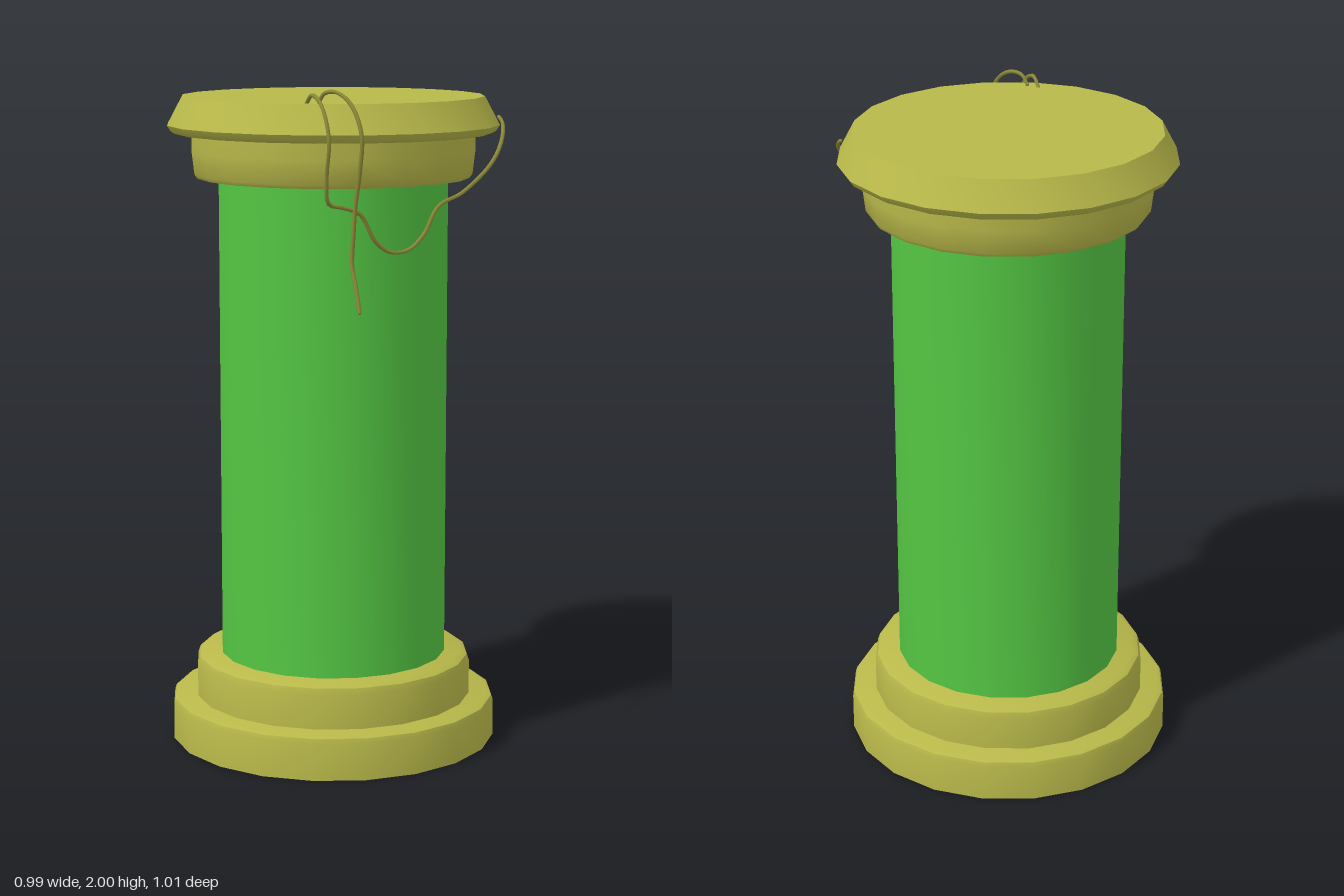
import * as THREE from 'three';
import { toCreasedNormals } from 'three/addons/utils/BufferGeometryUtils.js';

const SIDES = 20;

export function createModel() {
  const model = new THREE.Group();
  model.name = 'column';

  const stone = new THREE.MeshStandardMaterial({ color: 0xb8b84a });
  const green = new THREE.MeshStandardMaterial({ color: 0x54c643 });
  const vine = new THREE.MeshStandardMaterial({ color: 0x8c8a38, side: THREE.DoubleSide });

  // Turned part from [radius, height] pairs, bottom to top
  function turned(name, profile, material) {
    const points = profile.map(([r, y]) => new THREE.Vector2(r, y));
    const geometry = toCreasedNormals(new THREE.LatheGeometry(points, SIDES), 0.6);
    const mesh = new THREE.Mesh(geometry, material);
    mesh.name = name;
    mesh.position.set(-0.002, 0, -0.007);
    model.add(mesh);
  }

  // Thin strand through a list of points
  function strand(name, path) {
    const curve = new THREE.CatmullRomCurve3(path.map((p) => new THREE.Vector3(...p)));
    const mesh = new THREE.Mesh(new THREE.TubeGeometry(curve, 90, 0.006, 6), vine);
    mesh.name = name;
    model.add(mesh);
    // rounded ends
    for (const end of [path[0], path[path.length - 1]]) {
      const tip = new THREE.Mesh(new THREE.SphereGeometry(0.006, 6, 4), vine);
      tip.name = name + 'Tip';
      tip.position.set(...end);
      model.add(tip);
    }
  }

  // Stepped foot
  turned('basePlinth', [[0, 0], [0.497, 0], [0.497, 0.112], [0.492, 0.126], [0.478, 0.132], [0, 0.132]], stone);
  turned('baseRing', [[0, 0.12], [0.422, 0.12], [0.422, 0.235], [0.415, 0.255], [0.398, 0.265], [0, 0.265]], stone);

  // Shaft
  turned('shaft', [[0.345, 0.25], [0.345, 1.735]], green);

  // Stepped head with a sloping cap
  turned('capitalRing', [[0, 1.72], [0.408, 1.72], [0.417, 1.732], [0.425, 1.8], [0.425, 1.86], [0, 1.86]], stone);
  turned('capSlab', [[0, 1.853], [0.475, 1.853], [0.486, 1.86], [0.497, 1.877], [0.452, 1.961], [0, 1.961]], stone);

  // Strand hooked over the cap and hanging straight down
  strand('hangingVine', [
    [-0.24, 1.965, 0.335], [-0.232, 1.99, 0.355], [-0.215, 1.994, 0.39], [-0.2, 1.96, 0.45],
    [-0.193, 1.88, 0.494], [-0.19, 1.78, 0.48], [-0.19, 1.68, 0.455], [-0.192, 1.6, 0.448],
    [-0.193, 1.51, 0.443], [-0.193, 1.45, 0.465], [-0.195, 1.385, 0.488],
  ]);

  // Strand hooked over the cap and draped across the front
  strand('drapedVine', [
    [-0.263, 1.96, 0.305], [-0.265, 1.985, 0.34], [-0.268, 1.96, 0.4], [-0.27, 1.87, 0.447],
    [-0.262, 1.76, 0.42], [-0.245, 1.685, 0.4], [-0.2, 1.672, 0.396], [-0.14, 1.65, 0.395],
    [-0.09, 1.57, 0.395], [-0.04, 1.537, 0.395], [0.02, 1.54, 0.395], [0.07, 1.58, 0.395],
    [0.12, 1.66, 0.395], [0.2, 1.695, 0.395], [0.3, 1.77, 0.387], [0.37, 1.835, 0.34],
    [0.402, 1.885, 0.295], [0.402, 1.9, 0.275],
  ]);

  return model;
}
